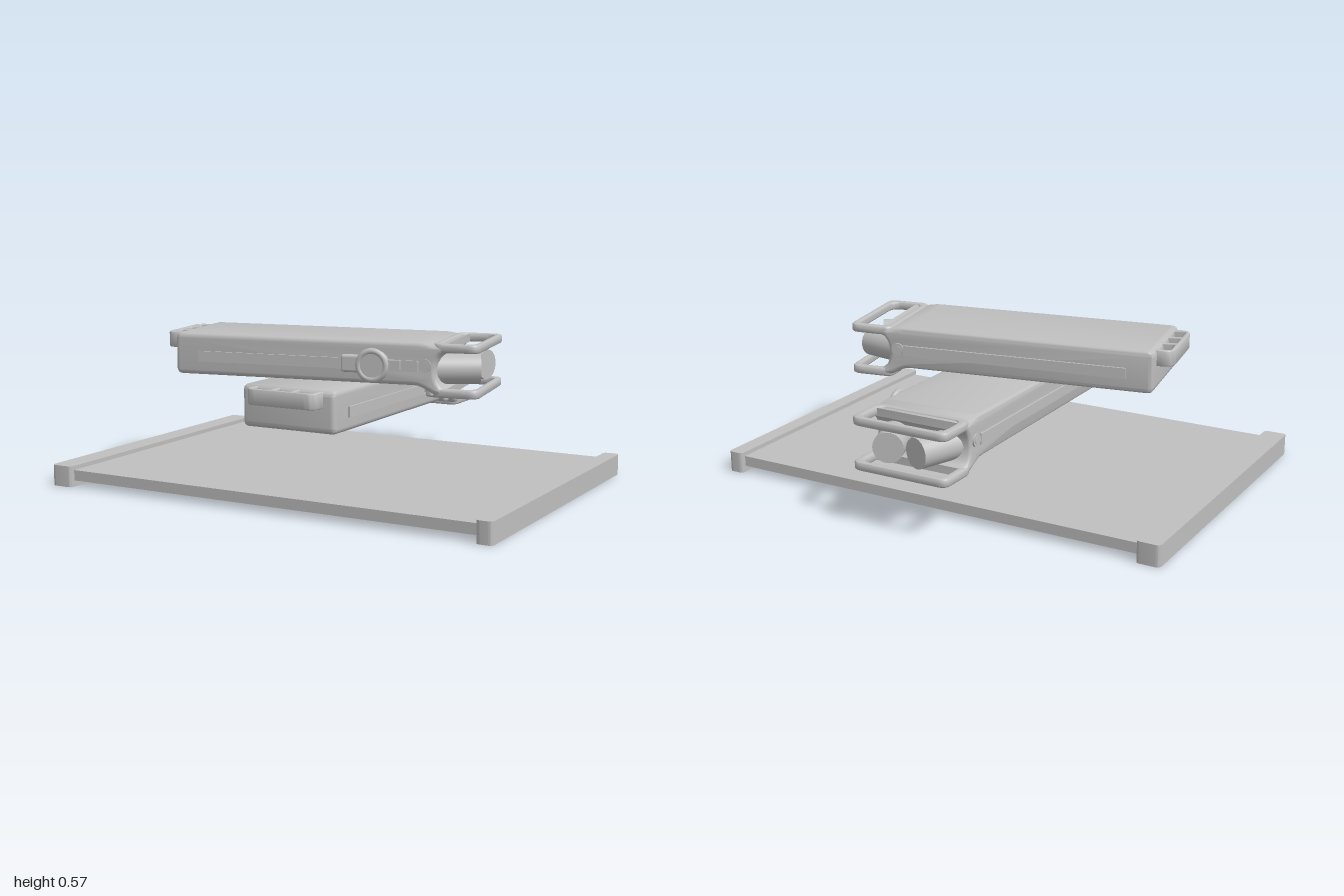
import * as THREE from 'three';
import { toCreasedNormals } from 'three/addons/utils/BufferGeometryUtils.js';
import { RoundedBoxGeometry } from 'three/addons/geometries/RoundedBoxGeometry.js';

const grey = new THREE.MeshStandardMaterial({ color: 0xbfbfbf });
grey.name = 'light grey';

function add(parent, name, geometry, x = 0, y = 0, z = 0) {
  const mesh = new THREE.Mesh(geometry, grey);
  mesh.name = name;
  mesh.position.set(x, y, z);
  parent.add(mesh);
  return mesh;
}

// Rounded rectangle outline, usable as a shape or a hole
function roundRect(x0, y0, x1, y1, r, Type = THREE.Shape) {
  const s = new Type();
  s.moveTo(x0 + r, y0);
  s.lineTo(x1 - r, y0).quadraticCurveTo(x1, y0, x1, y0 + r);
  s.lineTo(x1, y1 - r).quadraticCurveTo(x1, y1, x1 - r, y1);
  s.lineTo(x0 + r, y1).quadraticCurveTo(x0, y1, x0, y1 - r);
  s.lineTo(x0, y0 + r).quadraticCurveTo(x0, y0, x0 + r, y0);
  return s;
}

// Extrusion whose bevel stays inside the outline and the given depth
function slab(shape, depth, bevel) {
  const g = new THREE.ExtrudeGeometry(shape, {
    depth: depth - 2 * bevel, bevelEnabled: bevel > 0, bevelThickness: bevel,
    bevelSize: bevel, bevelOffset: -bevel, bevelSegments: 4, curveSegments: 8,
  });
  g.translate(0, 0, bevel);
  return toCreasedNormals(g, 0.6);
}

// Plan outline extruded upwards
const flatSlab = (shape, depth, bevel) => slab(shape, depth, bevel).rotateX(-Math.PI / 2);

function createDevice(name) {
  const device = new THREE.Group();
  device.name = name;

  // Housing: side profile flaring down to the forked end
  const p = new THREE.Shape();
  p.moveTo(-0.585, 0.41);
  p.lineTo(0.34, 0.41);
  p.bezierCurveTo(0.38, 0.41, 0.40, 0.375, 0.46, 0.37);
  p.lineTo(0.46, 0.40);
  p.bezierCurveTo(0.41, 0.41, 0.41, 0.525, 0.46, 0.535);
  p.lineTo(0.46, 0.565);
  p.bezierCurveTo(0.42, 0.555, 0.40, 0.57, 0.36, 0.57);
  p.lineTo(-0.585, 0.57);
  p.quadraticCurveTo(-0.61, 0.57, -0.61, 0.545);
  p.lineTo(-0.61, 0.435);
  p.quadraticCurveTo(-0.61, 0.41, -0.585, 0.41);
  add(device, 'housing', slab(p, 0.39, 0.018), 0, 0, -0.195);

  // Fork: an upper and a lower loop with a window each
  for (const [label, y] of [['lowerForkLoop', 0.37], ['upperForkLoop', 0.535]]) {
    const loop = roundRect(0.41, -0.195, 0.585, 0.195, 0.04);
    loop.holes.push(roundRect(0.435, -0.165, 0.56, 0.165, 0.035, THREE.Path));
    add(device, label, flatSlab(loop, 0.032, 0.008), 0, y, 0);
  }

  // Two rollers converging towards the open end
  for (const s of [-1, 1]) {
    const inner = new THREE.Vector3(0.40, 0.465, s * 0.115);
    const outer = new THREE.Vector3(0.555, 0.465, s * 0.057);
    const dir = outer.clone().sub(inner);
    const roller = add(device, 'roller', new THREE.CylinderGeometry(0.056, 0.056, dir.length(), 32));
    roller.position.copy(inner).add(outer).multiplyScalar(0.5);
    roller.quaternion.setFromUnitVectors(new THREE.Vector3(0, 1, 0), dir.normalize());
  }

  // Handle: rounded loop with cross ribs at the closed end
  const handle = roundRect(-0.672, -0.148, -0.56, 0.148, 0.045);
  for (const [a, b] of [[-0.128, -0.05], [-0.035, 0.035], [0.05, 0.128]]) {
    handle.holes.push(roundRect(-0.655, a, -0.595, b, 0.015, THREE.Path));
  }
  add(device, 'handle', flatSlab(handle, 0.06, 0.005), 0, 0.505, 0);

  // Raised rails along both sides
  for (const s of [-1, 1]) {
    add(device, 'sideRail', new THREE.BoxGeometry(0.87, 0.04, 0.014), -0.075, 0.482, s * 0.196);
  }

  // Clamp knob with rim, lever and stub
  const disc = (label, r, depth, x, z) =>
    add(device, label, new THREE.CylinderGeometry(r, r, depth, 32).rotateX(Math.PI / 2), x, 0.485, z);
  disc('knobBase', 0.05, 0.07, 0.2, 0.215);
  disc('knobCap', 0.044, 0.03, 0.2, 0.24);
  add(device, 'knobRim', new THREE.TorusGeometry(0.052, 0.012, 10, 40), 0.2, 0.485, 0.247);
  add(device, 'knobLever', new RoundedBoxGeometry(0.075, 0.065, 0.03, 3, 0.01), 0.115, 0.488, 0.232);
  add(device, 'leverArm', new THREE.BoxGeometry(0.06, 0.035, 0.05), 0.13, 0.488, 0.21);
  add(device, 'knobStub', new THREE.BoxGeometry(0.06, 0.035, 0.025), 0.265, 0.485, 0.202);

  // Pivot screws near the fork
  for (const s of [-1, 1]) {
    disc('pivotScrew', 0.024, 0.014, 0.385, s * 0.194);
    disc('pivotScrewCentre', 0.014, 0.018, 0.385, s * 0.194);
  }
  return device;
}

export function createModel() {
  const model = new THREE.Group();
  model.name = 'stackedDevicesOnBoard';

  // Board with raised end bars
  const board = new THREE.Group();
  board.name = 'board';
  board.position.z = 0.04;
  board.rotation.y = -Math.PI / 18;
  add(board, 'boardPlate', new THREE.BoxGeometry(1.74, 0.04, 1.204), 0, 0.044, 0);
  for (const [label, x0, x1] of [['rightEndBar', -0.908, -0.818], ['leftEndBar', 0.846, 0.908]]) {
    add(board, label, flatSlab(roundRect(x0, -0.622, x1, 0.622, 0.018), 0.08, 0));
  }
  model.add(board);

  // Two identical devices crossed over each other
  const upper = createDevice('upperDevice');
  upper.position.set(0, 0, 0.02);
  const lower = createDevice('lowerDevice');
  lower.position.set(0.03, -0.16, -0.197);
  lower.rotation.y = Math.PI * 80 / 180;
  model.add(upper, lower);
  return model;
}
